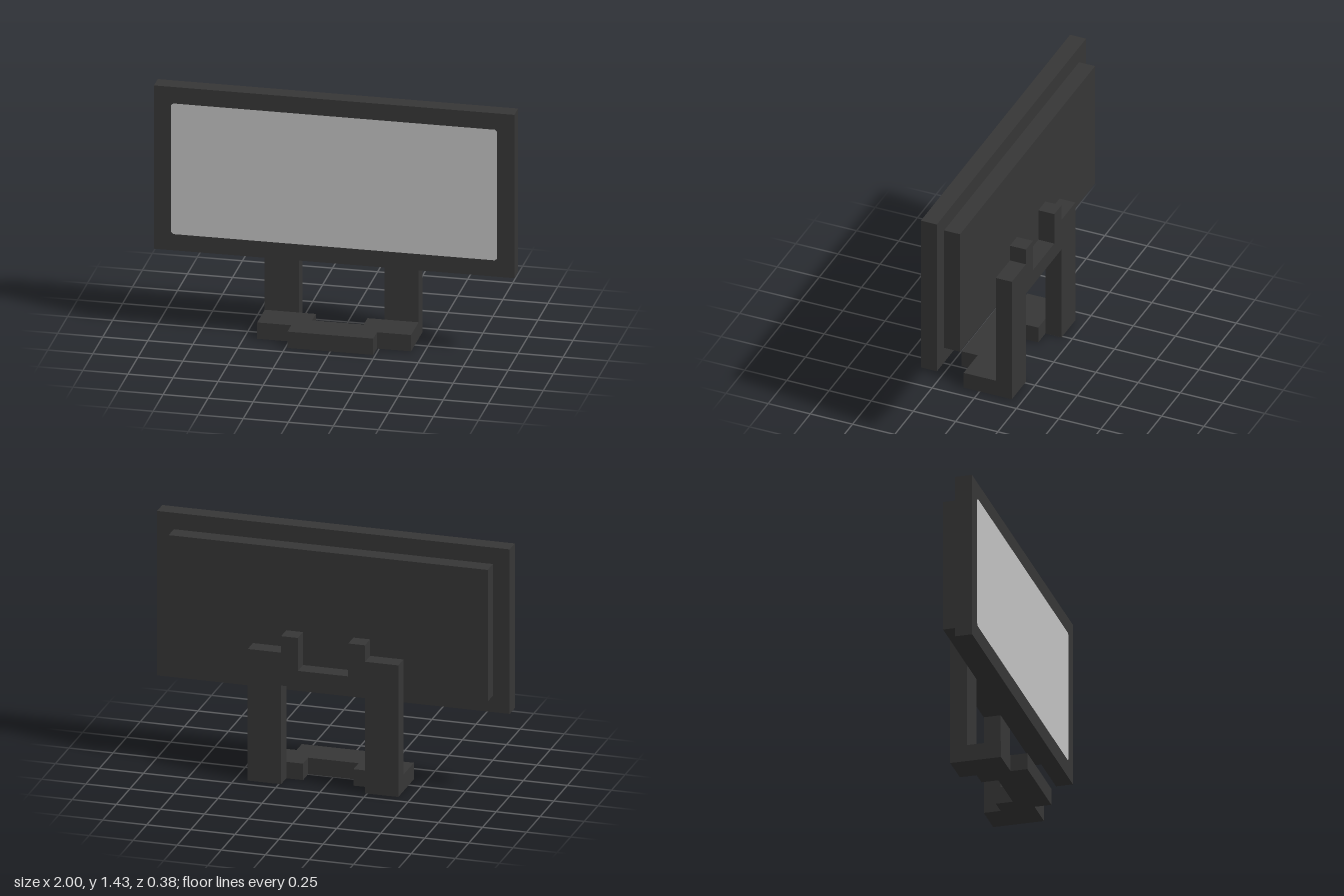
import * as THREE from 'three';

const U = 0.0953; // common thickness of every slab

// Closed shape from the points of its +x half, mirrored across x = 0
function mirroredShape(half) {
  const other = half.map(([x, y]) => [-x, y]).reverse();
  return new THREE.Shape([...half, ...other].map(([x, y]) => new THREE.Vector2(x, y)));
}

function extrude(half) {
  return new THREE.ExtrudeGeometry(mirroredShape(half), { depth: U, bevelEnabled: false });
}

export function createModel() {
  const model = new THREE.Group();
  model.name = 'monitor';
  const casing = new THREE.MeshStandardMaterial({ color: 0x363636 });
  casing.name = 'dark grey casing';
  const glass = new THREE.MeshStandardMaterial({ color: 0xc2c2c2 });
  glass.name = 'light grey screen';

  function add(name, geometry, material, x = 0, y = 0, z = 0) {
    const mesh = new THREE.Mesh(geometry, material);
    mesh.name = name;
    mesh.position.set(x, y, z);
    model.add(mesh);
    return mesh;
  }

  // Display: front frame and smaller rear housing
  add('displayFrame', new THREE.BoxGeometry(2, 10 * U, U), casing, 0, 10 * U, U / 2);
  add('rearHousing', new THREE.BoxGeometry(1.81, 8 * U, U), casing, 0, 10 * U, -U / 2);

  // Screen: thin face with clipped corners
  const w = 0.905, h = 4 * U, c = 0.012;
  const screen = mirroredShape([[w - c, -h], [w, -h + c], [w, h - c], [w - c, h]]);
  add('screen', new THREE.ShapeGeometry(screen), glass, 0, 10 * U, U + 0.002);

  // Upright: two legs, a crossbar and two prongs in one outline
  const upright = extrude([
    [0.238, 6 * U], [0.238, 0], [0.427, 0], [0.427, 8 * U],
    [0.238, 8 * U], [0.238, 9 * U], [0.143, 9 * U], [0.143, 7 * U],
  ]);
  add('standUpright', upright, casing, 0, 0, -2 * U);

  // Base: feet joined by a stepped front bar, outline in x and z
  const base = extrude([
    [0.143, 0], [0.143, -U], [0.427, -U], [0.427, U], [0.238, U], [0.238, 2 * U],
  ]);
  base.rotateX(Math.PI / 2);
  add('standBase', base, casing, 0, U, 0);

  return model;
}
